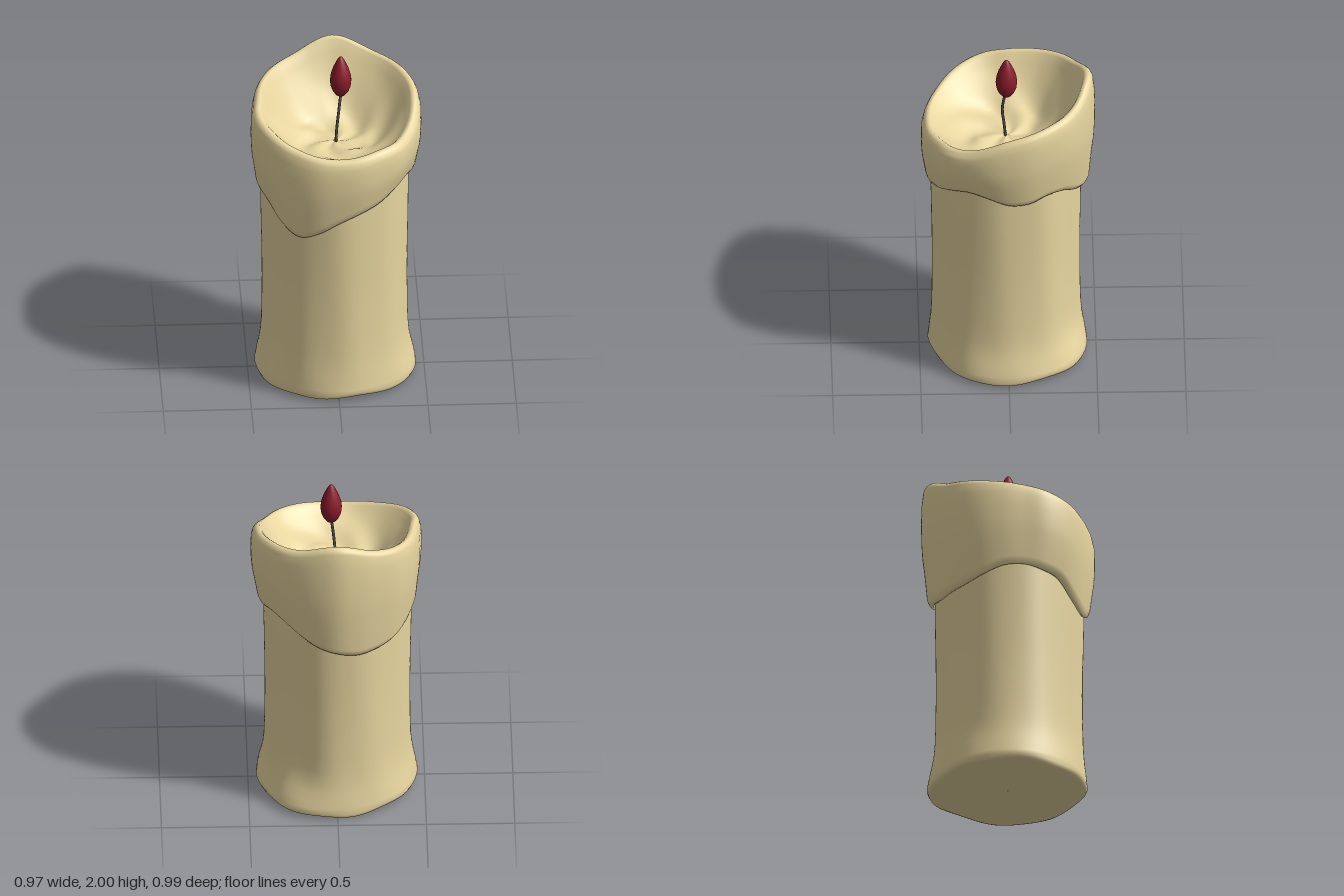
import * as THREE from 'three';

const SEG = 120;
const wax = new THREE.MeshStandardMaterial({ color: 0xe8d6a0, side: THREE.DoubleSide });

// Smooth periodic function through values spaced evenly round the candle.
// Angle 0 is the front (+z), turning towards +x.
function around(values) {
  const n = values.length;
  return (a) => {
    const u = (((a / (2 * Math.PI)) % 1) + 1) % 1 * n;
    const i = Math.floor(u), t = u - i;
    const [p, q, r, s] = [-1, 0, 1, 2].map((k) => values[(i + k + n) % n]);
    return q + 0.5 * t * (r - p + t * (2 * p - 5 * q + 4 * r - s + t * (3 * (q - r) + s - p)));
  };
}

const shaftRadius = around([0.43, 0.425, 0.418, 0.405, 0.41, 0.395, 0.415, 0.412, 0.412, 0.425, 0.418, 0.428]);
const footRadius = around([0.45, 0.44, 0.455, 0.45, 0.455, 0.465, 0.445, 0.435, 0.45, 0.458, 0.45, 0.445]);
const topRadius = around([0.49, 0.494, 0.495, 0.5, 0.49, 0.487, 0.485, 0.488, 0.487, 0.488, 0.485, 0.488,
  0.495, 0.485, 0.48, 0.487, 0.485, 0.478, 0.478, 0.5, 0.505, 0.5, 0.493, 0.493]);
const rimHeight = around([1.575, 1.6, 1.63, 1.73, 1.785, 1.82, 1.885, 1.81, 1.765, 1.735, 1.68, 1.61]);
const dripHeight = around([1.16, 1.21, 1.25, 1.3, 1.33, 1.31, 1.27, 1.27, 1.3, 1.28, 1.22, 1.17,
  1.14, 1.12, 1.13, 1.15, 1.19, 1.23, 1.24, 1.22, 1.19, 1.1, 1.05, 1.09]);

// Skin a stack of rings; each ring maps an angle to [radius, height].
function skin(name, rings) {
  const pos = [], index = [];
  rings.forEach((ring, j) => {
    for (let i = 0; i < SEG; i++) {
      const a = (i / SEG) * Math.PI * 2;
      const [r, y] = ring(a);
      pos.push(r * Math.sin(a), y, r * Math.cos(a));
      if (j === 0) continue;
      const k = (i + 1) % SEG, lo = (j - 1) * SEG, hi = j * SEG;
      index.push(lo + i, lo + k, hi + k, lo + i, hi + k, hi + i);
    }
  });
  const geo = new THREE.BufferGeometry();
  geo.setAttribute('position', new THREE.Float32BufferAttribute(pos, 3));
  geo.setIndex(index);
  geo.computeVertexNormals();
  const mesh = new THREE.Mesh(geo, wax);
  mesh.name = name;
  return mesh;
}

// Shaft with an uneven underside and a flared foot
function makeShaft() {
  const under = (a) => 0.016 + 0.008 * Math.sin(3 * a + 1) + 0.005 * Math.sin(7 * a);
  const rings = [() => [0.001, 0.025]];
  for (const f of [0.3, 0.6, 0.85, 0.95]) {
    rings.push((a) => [footRadius(a) * f, 0.025 + (under(a) - 0.025) * f]);
  }
  rings.push((a) => [footRadius(a) * 0.985, under(a) + 0.007]);
  rings.push((a) => [footRadius(a) + 0.003, under(a) + 0.028]);
  for (const y of [0.075, 0.12, 0.17, 0.23, 0.3, 0.4, 0.6, 0.8, 1.0, 1.2, 1.36]) {
    const flare = Math.exp(-Math.pow((y - 0.04) / 0.13, 2) * 0.9);
    const waist = 0.004 * Math.cos(y * 5);
    rings.push((a) => {
      const s = shaftRadius(a) + waist + 0.003 * Math.sin(9 * a + y);
      return [s + (footRadius(a) - s) * flare, y];
    });
  }
  return skin('shaft', rings);
}

// Melted wax: hanging lip, swollen side, rounded rim and hollow bowl
function makeMeltedTop() {
  const rings = [];
  const side = [[-0.03, 0.05], [0.1, 0.005], [0.28, 0], [0.45, 0.018], [0.58, 0.045]];
  for (const [f, dy] of side) {
    rings.push((a) => {
      const s = shaftRadius(a);
      return [s + (topRadius(a) - s) * f, dripHeight(a) + dy];
    });
  }
  const swell = [[0.3, 0.78], [0.42, 0.91], [0.55, 0.98], [0.7, 1], [0.85, 0.97]];
  for (const [t, f] of swell) {
    rings.push((a) => {
      const s = shaftRadius(a), d = dripHeight(a);
      return [s + (topRadius(a) - s) * f, d + (rimHeight(a) - d) * t];
    });
  }
  for (const [inset, drop] of [[0.012, 0.03], [0.022, 0.012], [0.035, 0.002], [0.05, 0.001], [0.064, 0.014]]) {
    rings.push((a) => [topRadius(a) - inset, rimHeight(a) - drop]);
  }
  const floor = 1.455, steps = 18;
  for (let j = 1; j <= steps; j++) {
    const s = j / steps;
    rings.push((a) => {
      const r = Math.max((topRadius(a) - 0.066) * (1 - s), 0.001);
      const fall = Math.pow(Math.max(0, 1 - s / 0.62), 1.6);
      const lumps = 0.012 * Math.sin(5 * a + 9 * s) * Math.sin(Math.PI * s);
      const ripple = 0.014 * Math.exp(-Math.pow((r - 0.18) / 0.03, 2)) * (0.6 + 0.4 * Math.sin(2 * a));
      return [r, floor + (rimHeight(a) - 0.02 - floor) * fall + lumps + ripple];
    });
  }
  return skin('meltedTop', rings);
}

export function createModel() {
  const model = new THREE.Group();
  model.name = 'candle';
  model.add(makeShaft(), makeMeltedTop());

  // Bent wick
  const path = new THREE.CatmullRomCurve3([
    new THREE.Vector3(0.0, 1.43, 0.01), new THREE.Vector3(0.005, 1.54, 0.02),
    new THREE.Vector3(0.015, 1.65, 0.03), new THREE.Vector3(0.03, 1.78, 0.012),
  ]);
  const wick = new THREE.Mesh(new THREE.TubeGeometry(path, 16, 0.008, 8),
    new THREE.MeshStandardMaterial({ color: 0x555555 }));
  wick.name = 'wick';

  // Teardrop flame
  const profile = [[0, 1.75], [0.026, 1.757], [0.045, 1.782], [0.057, 1.815], [0.061, 1.85], [0.057, 1.885],
    [0.045, 1.925], [0.03, 1.96], [0.017, 1.986], [0.007, 1.998], [0, 2]];
  const flame = new THREE.Mesh(
    new THREE.LatheGeometry(profile.map(([r, y]) => new THREE.Vector2(r, y)), 24),
    new THREE.MeshStandardMaterial({ color: 0x8a1c2c }));
  flame.position.set(0.028, 0, 0.007);
  flame.name = 'flame';

  model.add(wick, flame);
  return model;
}
